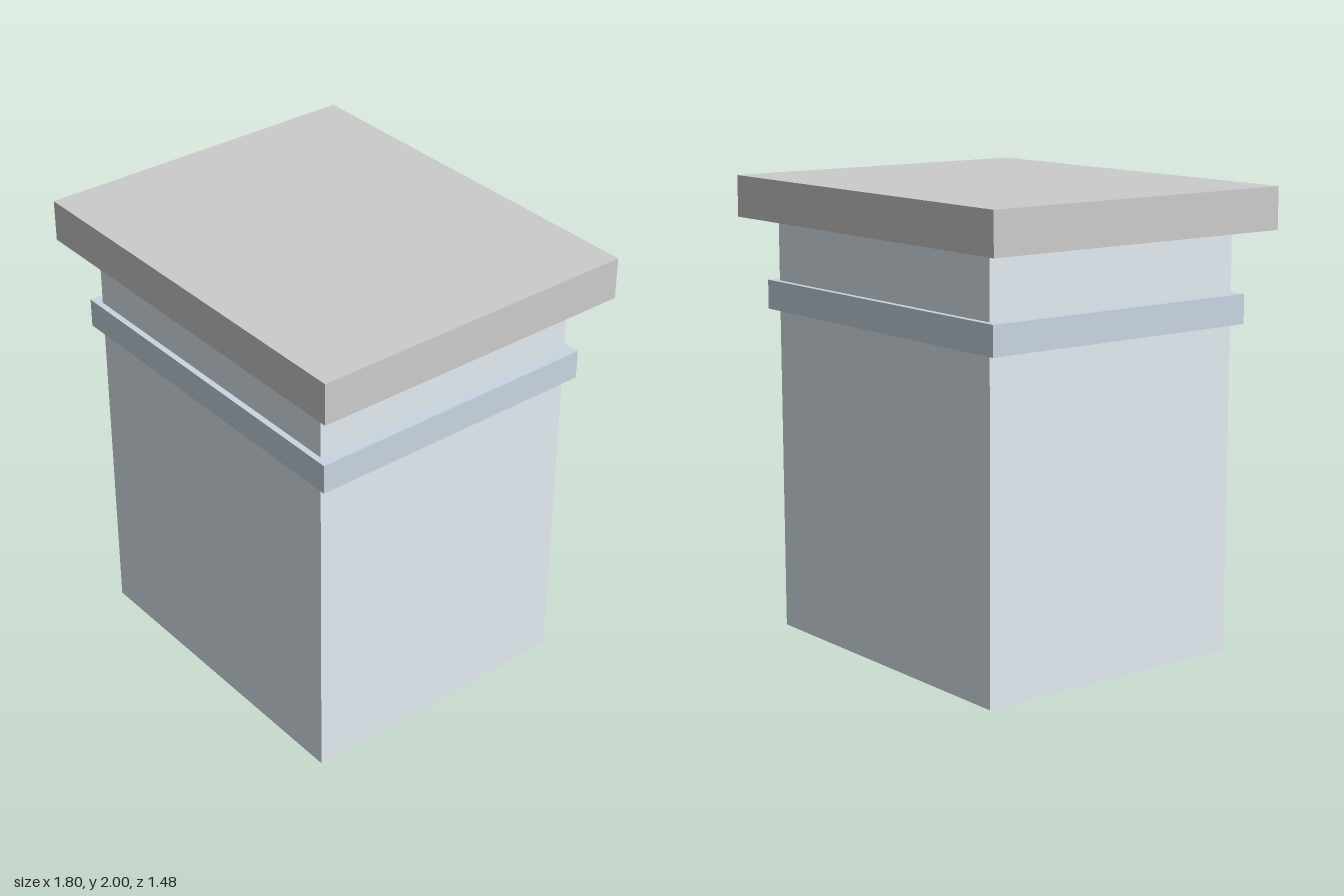
import * as THREE from 'three';

export function createModel() {
  const model = new THREE.Group();
  model.name = 'cappedPillar';

  // Adds a centred block spanning bottom..top
  function addBlock(name, width, depth, bottom, top, color) {
    const mesh = new THREE.Mesh(
      new THREE.BoxGeometry(width, top - bottom, depth),
      new THREE.MeshStandardMaterial({ color })
    );
    mesh.name = name;
    mesh.position.y = (bottom + top) / 2;
    model.add(mesh);
  }

  // Main shaft, its raised collar, and the overhanging slab floating just above
  addBlock('shaft', 1.48, 1.27, 0, 1.803, 0xe2eaf2);
  addBlock('collarBand', 1.587, 1.323, 1.423, 1.55, 0xc8d5e2);
  addBlock('capSlab', 1.8, 1.48, 1.82, 2, 0xcccccc);

  return model;
}
